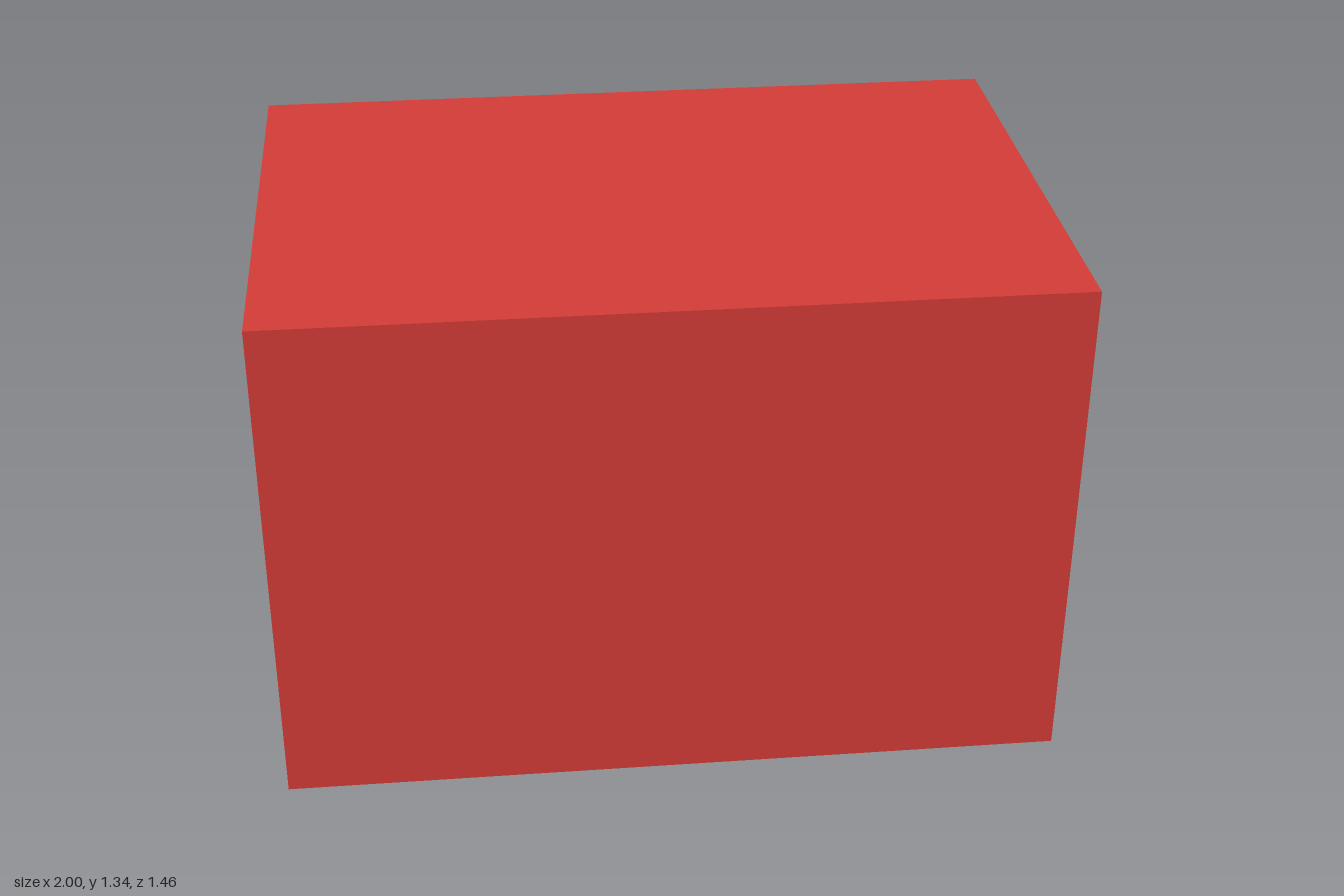
import * as THREE from 'three';

const BOX = { width: 2, height: 1.335, back: -0.605, front: 0.73 };
const CENTER_Y = 0.69;

// Finger grooves in the sloping end: [height, half width]
const GROOVES = [[0.556, 0.044], [0.635, 0.022], [0.697, 0.022], [0.763, 0.022], [0.84, 0.044]];

// Body sections: [z, end x, other end x, half height]
const SECTIONS = [
  [-0.73, -0.64, 0.58, 0.28],
  [-0.727, -0.73, 0.62, 0.312],
  [-0.715, -0.8, 0.66, 0.345],
  [-0.68, -0.868, 0.7, 0.382],
  [-0.64, -0.915, 0.719, 0.4],
  [-0.605, -0.947, 0.729, 0.408],
  [-0.52, -0.985, 0.736, 0.413],
  [-0.456, -1.002, 0.738, 0.415],
  [-0.432, -1.002, 0.738, 0.415],
  [-0.37, -0.985, 0.736, 0.413],
  [-0.25, -0.93, 0.72, 0.4],
  [-0.2, -0.86, 0.68, 0.36],
];

// Push the end inwards wherever a rounded groove crosses it
function groovedX(x, y) {
  for (const [gy, half] of GROOVES) {
    const t = Math.abs(y - gy) / half;
    if (t < 1) return Math.max(x, -0.903 - half * (1 - Math.sqrt(1 - t * t)));
  }
  return x;
}

// Rounded rectangle with a grooved left edge, counter-clockwise
function ring([z, x0, x1, half]) {
  const r = Math.min(0.1, half - 0.21), points = [], steps = 6;
  const corner = (cx, cy, start) => {
    for (let i = 0; i <= steps; i++) {
      const a = start + (i / steps) * Math.PI / 2;
      points.push([cx + r * Math.cos(a), cy + r * Math.sin(a), z]);
    }
  };
  const low = CENTER_Y - half + r, high = CENTER_Y + half - r;
  corner(x1 - r, low, -Math.PI / 2);
  corner(x1 - r, high, 0);
  corner(x0 + r, high, Math.PI / 2);
  for (let i = 0; i <= 120; i++) {
    const y = 0.893 - (i / 120) * 0.4;
    points.push([groovedX(x0, y), y, z]);
  }
  corner(x0 + r, low, Math.PI);
  return points;
}

function bodyGeometry() {
  const rings = SECTIONS.map(ring), n = rings[0].length;
  const positions = rings.flat(2), index = [];
  for (let i = 0; i < rings.length - 1; i++) {
    for (let j = 0; j < n; j++) {
      const k = (j + 1) % n;
      const a = i * n + j, b = i * n + k, c = a + n, d = b + n;
      index.push(a, b, c, b, d, c);
    }
  }
  // Flat caps with their own vertices
  for (const [cap, flip] of [[rings[0], true], [rings[rings.length - 1], false]]) {
    const base = positions.length / 3;
    positions.push(0, CENTER_Y, cap[0][2], ...cap.flat());
    for (let j = 0; j < n; j++) {
      const a = base + 1 + j, b = base + 1 + (j + 1) % n;
      index.push(base, flip ? b : a, flip ? a : b);
    }
  }
  const geometry = new THREE.BufferGeometry();
  geometry.setAttribute('position', new THREE.Float32BufferAttribute(positions, 3));
  geometry.setIndex(index);
  geometry.computeVertexNormals();
  return geometry;
}

export function createModel() {
  const group = new THREE.Group();

  // Large plain block
  const block = new THREE.Mesh(
    new THREE.BoxGeometry(BOX.width, BOX.height, BOX.front - BOX.back),
    new THREE.MeshStandardMaterial({ color: 0xd33c37 })
  );
  block.name = 'block';
  block.position.set(0, BOX.height / 2, (BOX.front + BOX.back) / 2);
  group.add(block);

  // Rounded casing sunk into the block's back
  const casing = new THREE.Mesh(bodyGeometry(), new THREE.MeshStandardMaterial({ color: 0xcccccc }));
  casing.name = 'roundedCasing';
  group.add(casing);

  return group;
}
